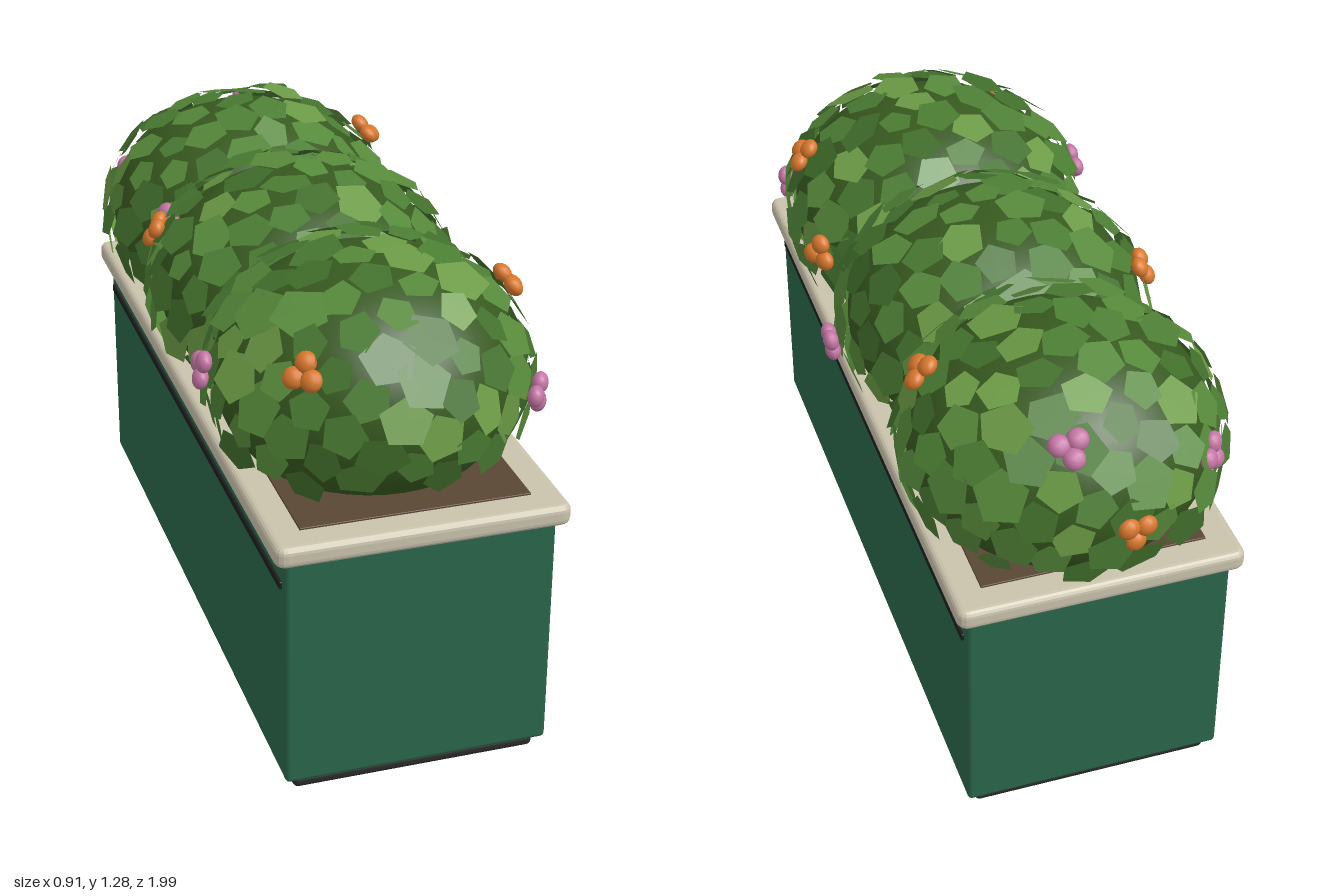
import * as THREE from 'three';
import { mergeGeometries } from 'three/addons/utils/BufferGeometryUtils.js';
import { RoundedBoxGeometry } from 'three/addons/geometries/RoundedBoxGeometry.js';

const CX = -0.0075, CZ = 0.04; // trough centre
const RADII = new THREE.Vector3(0.385, 0.31, 0.385);
const BUSHES = [0.54, -0.02, -0.56].map((z) => new THREE.Vector3(-0.01, 0.93, z));
const UP = new THREE.Vector3(0, 0, 1);

let seed = 7;
const rand = () => (seed = (seed * 16807) % 2147483647) / 2147483647;
const vary = (amount) => (rand() - 0.5) * 2 * amount;

function add(parent, name, geometry, color, side = THREE.FrontSide) {
  const mesh = new THREE.Mesh(geometry, new THREE.MeshStandardMaterial({ color, side }));
  mesh.name = name;
  parent.add(mesh);
  return mesh;
}

// Rounded block between two heights
function block(parent, name, w, d, y0, y1, radius, color) {
  const mesh = add(parent, name, new RoundedBoxGeometry(w, y1 - y0, d, 2, radius), color);
  mesh.position.set(CX, (y0 + y1) / 2, CZ);
  return mesh;
}

// Outward normal of a bush's ellipsoid at a point
const normalAt = (p, bush) => p.clone().sub(bush).divide(RADII).divide(RADII).normalize();
// Below 1 when the point lies inside the bush
const depthIn = (p, bush) => p.clone().sub(bush).divide(RADII).length();

function rectangle(path, w, d, r) {
  path.moveTo(-w + r, -d);
  path.lineTo(w - r, -d).quadraticCurveTo(w, -d, w, -d + r);
  path.lineTo(w, d - r).quadraticCurveTo(w, d, w - r, d);
  path.lineTo(-w + r, d).quadraticCurveTo(-w, d, -w, d - r);
  path.lineTo(-w, -d + r).quadraticCurveTo(-w, -d, -w + r, -d);
  return path;
}

function buildTrough() {
  const trough = new THREE.Group();
  trough.name = 'trough';
  block(trough, 'base', 0.635, 1.82, 0, 0.036, 0.015, 0x2b2b2b);
  block(trough, 'body', 0.685, 1.86, 0.035, 0.667, 0.012, 0x2a6549);
  for (const s of [-1, 1]) {
    block(trough, 'sideStrip', 0.016, 1.8, 0.58, 0.6, 0.003, 0x1c1f1e).position.x = CX + s * 0.3415;
  }
  // Rim frame with softened edges
  const bevel = 0.018;
  const outline = rectangle(new THREE.Shape(), 0.3725 - bevel, 0.96 - bevel, 0.012);
  outline.holes.push(rectangle(new THREE.Path(), 0.27 + bevel, 0.86 + bevel, 0.004));
  const rim = new THREE.ExtrudeGeometry(outline, {
    depth: 0.056 - 2 * bevel, bevelThickness: bevel, bevelSize: bevel, bevelSegments: 4, curveSegments: 4,
  });
  rim.rotateX(-Math.PI / 2).translate(CX, 0.666 + bevel, CZ);
  add(trough, 'rim', rim, 0xc9c2ac);
  block(trough, 'soil', 0.585, 1.76, 0.65, 0.727, 0.002, 0x5a4735);
  return trough;
}

// One irregular pentagonal leaf lying on the bush, its lower edge lifted
function leaf(center, normal) {
  const geometry = new THREE.CircleGeometry(0.061 + vary(0.011), 5, rand() * 6.28);
  geometry.scale(1 + vary(0.14), 1 + vary(0.14), 1);
  const facing = normal.clone();
  facing.y += 0.12;
  facing.add(new THREE.Vector3(vary(0.17), vary(0.17), vary(0.17))).normalize();
  geometry.applyQuaternion(new THREE.Quaternion().setFromUnitVectors(UP, facing));
  return geometry.translate(center.x, center.y, center.z);
}

function buildBush(bush, index) {
  const group = new THREE.Group();
  group.name = 'bush';
  const core = new THREE.SphereGeometry(1, 40, 24).scale(RADII.x, RADII.y, RADII.z);
  add(group, 'bushCore', core.translate(bush.x, bush.y, bush.z), 0x37591f);

  // Leaves on an even spiral, from the crown down past the widest part
  const colors = [0x42702c, 0x4b7d33, 0x56893a, 0x6b9a45];
  const sets = colors.map(() => []);
  const count = 125;
  for (let i = 0; i < count; i++) {
    const y = 1 - (i + 0.5) / count * 1.42;
    const r = Math.sqrt(1 - y * y), a = i * 2.39996 + index * 1.3;
    const onCore = new THREE.Vector3(r * Math.cos(a), y, r * Math.sin(a)).multiply(RADII).add(bush);
    const normal = normalAt(onCore, bush);
    const center = onCore.clone().addScaledVector(normal, 0.026 + vary(0.008));
    if (BUSHES.some((other) => other !== bush && depthIn(center, other) < 0.98)) continue;
    sets[Math.min(3, Math.floor(rand() * 3.5))].push(leaf(center, normal));
  }
  sets.forEach((set, i) => {
    if (set.length) add(group, 'leaves', mergeGeometries(set), colors[i], THREE.DoubleSide);
  });
  return group;
}

// Three blossoms pressed against the nearest bush
function buildCluster([x, y, z], color) {
  const p = new THREE.Vector3(x, y, z);
  const bush = BUSHES.reduce((a, b) => (depthIn(p, a) < depthIn(p, b) ? a : b));
  const turn = rand() * 6.28;
  const parts = [0, 1, 2].map((i) => {
    const a = turn + i * 2.094;
    return new THREE.SphereGeometry(0.028, 12, 8).scale(1, 1, 0.75)
      .translate(0.027 * Math.cos(a), 0.027 * Math.sin(a), 0);
  });
  const geometry = mergeGeometries(parts);
  geometry.applyQuaternion(new THREE.Quaternion().setFromUnitVectors(UP, normalAt(p, bush)));
  return geometry.translate(x, y, z);
}

export function createModel() {
  const model = new THREE.Group();
  model.name = 'planter';
  model.add(buildTrough());
  BUSHES.forEach((bush, i) => model.add(buildBush(bush, i)));

  const orange = [
    [-0.26, 1.08, 0.82], [0.35, 1.13, 0.57], [0.375, 0.965, 0.32],
    [0.33, 1.15, -0.5], [-0.06, 0.92, -0.97], [-0.38, 1.07, -0.15],
  ];
  const pink = [
    [0.35, 0.92, 0.78], [0.425, 0.89, 0.02], [0.08, 1.14, -0.88],
    [-0.31, 0.98, -0.82], [-0.43, 0.98, 0.52], [-0.31, 1.02, -0.3],
  ];
  for (const [name, places, color] of [['orangeBlossoms', orange, 0xd9782d], ['pinkBlossoms', pink, 0xc475a4]]) {
    for (const place of places) add(model, name, buildCluster(place), color);
  }
  return model;
}
